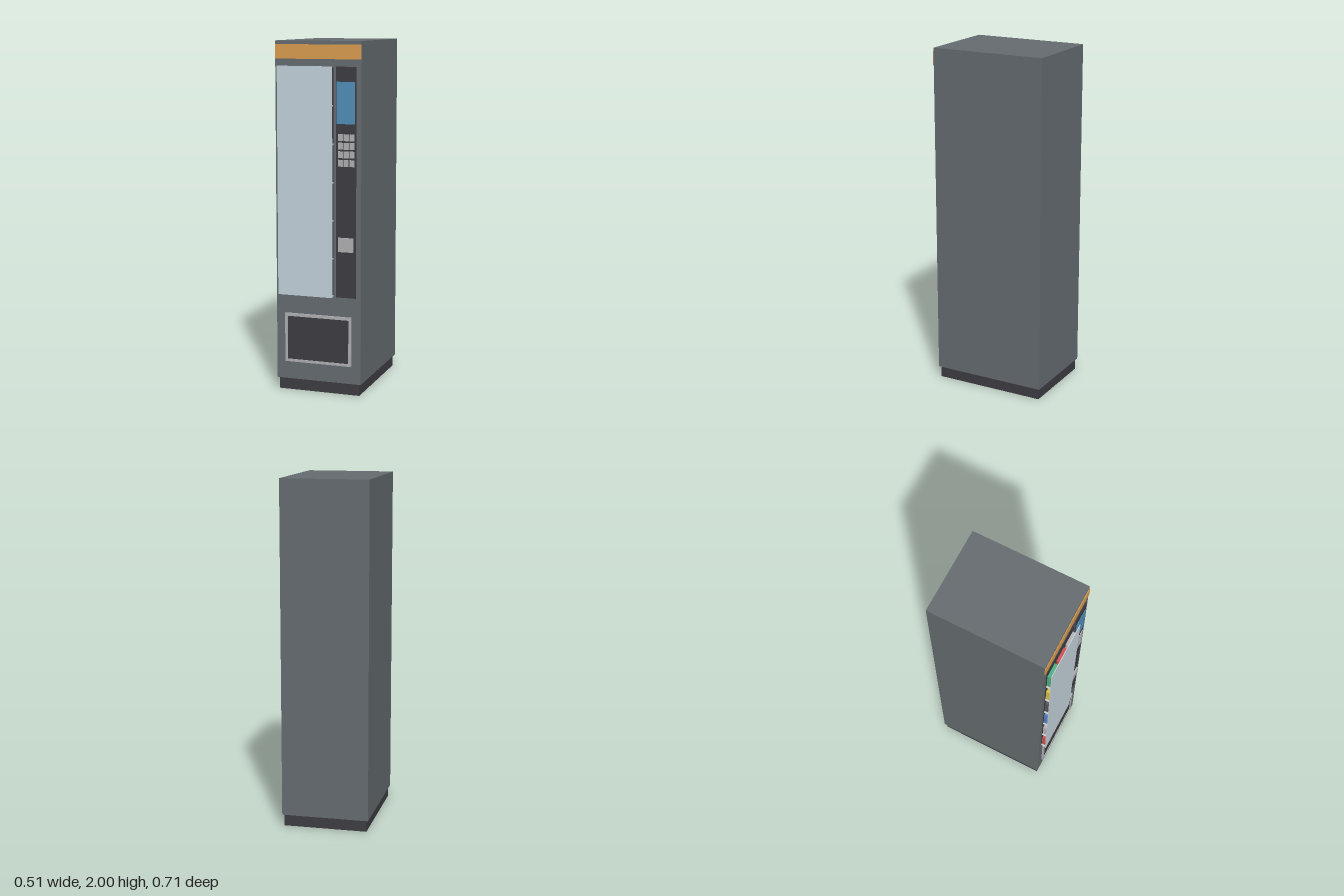
import * as THREE from 'three';

const mat = (color) => new THREE.MeshStandardMaterial({ color });
const M = {
  body: mat(0x646b6f), dark: mat(0x3d3c41), metal: mat(0xb0b0b3), band: mat(0xd99c4e),
  glass: mat(0xc3d2da), screen: mat(0x4f8db8), shelf: mat(0xcccccc),
};
const FRONT = 0.323; // front plane of the cabinet

export function createModel() {
  const model = new THREE.Group();
  model.name = 'vendingMachine';

  // Box given by its extents on each axis
  const box = (name, material, [x0, x1], [y0, y1], [z0, z1], parent = model) => {
    const mesh = new THREE.Mesh(new THREE.BoxGeometry(x1 - x0, y1 - y0, z1 - z0), material);
    mesh.position.set((x0 + x1) / 2, (y0 + y1) / 2, (z0 + z1) / 2);
    mesh.name = name;
    parent.add(mesh);
    return mesh;
  };
  const group = (name) => {
    const g = new THREE.Group();
    g.name = name;
    model.add(g);
    return g;
  };

  // Cabinet, plinth and header band
  box('cabinet', M.body, [-0.253, 0.253], [0.067, 2], [-0.357, FRONT]);
  box('plinth', M.dark, [-0.242, 0.242], [0, 0.067], [-0.347, 0.314]);
  box('headerBand', M.band, [-0.253, 0.253], [1.9, 1.98], [FRONT, 0.327]);

  // Display window: backing, shelves, products, glass
  box('displayBacking', M.dark, [-0.226, 0.09], [0.575, 1.855], [FRONT, 0.325]);
  box('displayGlass', M.glass, [-0.231, 0.094], [0.567, 1.862], [0.353, 0.357]);
  const palette = [0xb5b3b5, 0xcf5054, 0x4fb07f, 0xd8c04a, 0x55555a, 0x5580c4].map(mat);
  const shelves = group('shelves');
  const products = group('products');
  for (let row = 0; row < 6; row++) {
    const y = 1.65 - row * 0.2145;
    box('shelf', M.shelf, [-0.226, 0.09], [y - 0.008, y], [0.325, 0.349], shelves);
    for (let col = 0; col < 3; col++) {
      const x = -0.006 - col * 0.1055;
      const height = 0.115 + 0.0125 * ((row + col) % 3);
      box('product', palette[(row + col) % 6], [x, x + 0.085], [y, y + height], [0.325, 0.347], products);
    }
  }

  // Control panel with screen, keypad and payment reader
  box('controlPanel', M.dark, [0.107, 0.224], [0.567, 1.86], [FRONT, 0.329]);
  box('screen', M.screen, [0.112, 0.218], [1.546, 1.778], [0.329, 0.332]);
  const keypad = group('keypad');
  for (let row = 0; row < 4; row++) {
    for (let col = 0; col < 3; col++) {
      const x = 0.12 + col * 0.034, y = 1.31 + row * 0.0475;
      box('key', M.metal, [x, x + 0.028], [y, y + 0.038], [0.329, 0.333], keypad);
    }
  }
  box('paymentReader', M.metal, [0.122, 0.21], [0.83, 0.91], [0.329, 0.34]);

  // Delivery hatch: framed dark flap
  const frame = new THREE.Shape([[-0.2, 0.17], [0.197, 0.17], [0.197, 0.455], [-0.2, 0.455]]
    .map(([x, y]) => new THREE.Vector2(x, y)));
  frame.holes.push(new THREE.Path([[-0.185, 0.185], [-0.185, 0.438], [0.182, 0.438], [0.182, 0.185]]
    .map(([x, y]) => new THREE.Vector2(x, y))));
  const hatchFrame = new THREE.Mesh(
    new THREE.ExtrudeGeometry(frame, { depth: 0.01, bevelEnabled: false }), M.metal);
  hatchFrame.position.z = FRONT;
  hatchFrame.name = 'hatchFrame';
  model.add(hatchFrame);
  box('hatchFlap', M.dark, [-0.185, 0.182], [0.185, 0.438], [FRONT, 0.329]);

  return model;
}
